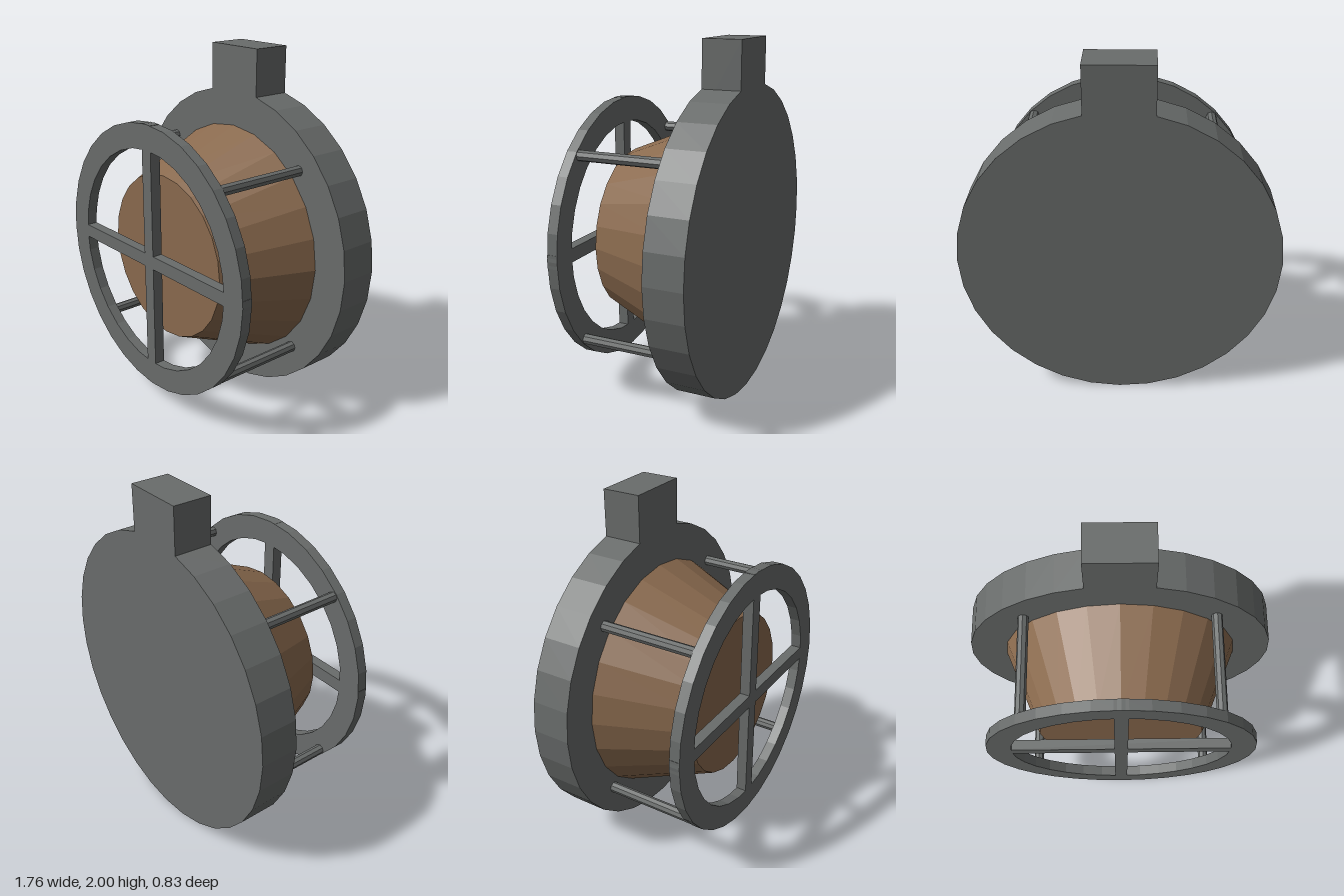
import * as THREE from 'three';

const CY = 0.88; // height of the common axis
const BACK = -0.415, PLATE_FRONT = -0.195, RING_BACK = 0.355, FRONT = 0.415;

export function createModel() {
  const model = new THREE.Group();
  const metal = new THREE.MeshStandardMaterial({ color: 0x696c6b, flatShading: true });
  const amber = new THREE.MeshStandardMaterial({ color: 0x8a6a4e, flatShading: true });

  const add = (name, geometry, material, x, y, z) => {
    const mesh = new THREE.Mesh(geometry, material);
    mesh.name = name;
    mesh.position.set(x, y, z);
    model.add(mesh);
    return mesh;
  };

  // Cylinder or cone along z, from z0 (radius r0) to z1 (radius r1)
  const round = (name, r0, r1, z0, z1, sides, material, x = 0, y = CY) =>
    add(name, new THREE.CylinderGeometry(r1, r0, z1 - z0, sides).rotateX(Math.PI / 2),
      material, x, y, (z0 + z1) / 2);

  // Back plate and mounting tab
  round('backPlate', 0.88, 0.88, BACK, PLATE_FRONT, 32, metal);
  add('mountingTab', new THREE.BoxGeometry(0.366, 0.4, PLATE_FRONT - BACK), metal,
    0, 1.8, (BACK + PLATE_FRONT) / 2);

  // Tapered lens
  round('lens', 0.675, 0.47, PLATE_FRONT, 0.305, 24, amber);

  // Guard ring with a rectangular section
  const depth = FRONT - RING_BACK;
  const section = [[0.63, 0], [0.77, 0], [0.77, depth], [0.63, depth], [0.63, 0]]
    .map(([r, h]) => new THREE.Vector2(r, h));
  add('guardRing', new THREE.LatheGeometry(section, 32).rotateX(Math.PI / 2), metal, 0, CY, RING_BACK);

  // Crossed guard bars
  const zBar = (RING_BACK + FRONT) / 2;
  add('guardBarVertical', new THREE.BoxGeometry(0.076, 1.536, depth), metal, 0, CY, zBar);
  add('guardBarHorizontal', new THREE.BoxGeometry(1.536, 0.076, depth), metal, 0, CY, zBar);

  // Four rods holding the guard
  for (const sx of [-1, 1]) {
    for (const sy of [-1, 1]) {
      round('guardRod', 0.03, 0.03, PLATE_FRONT, RING_BACK, 8, metal, sx * 0.522, CY + sy * 0.522);
    }
  }
  return model;
}
